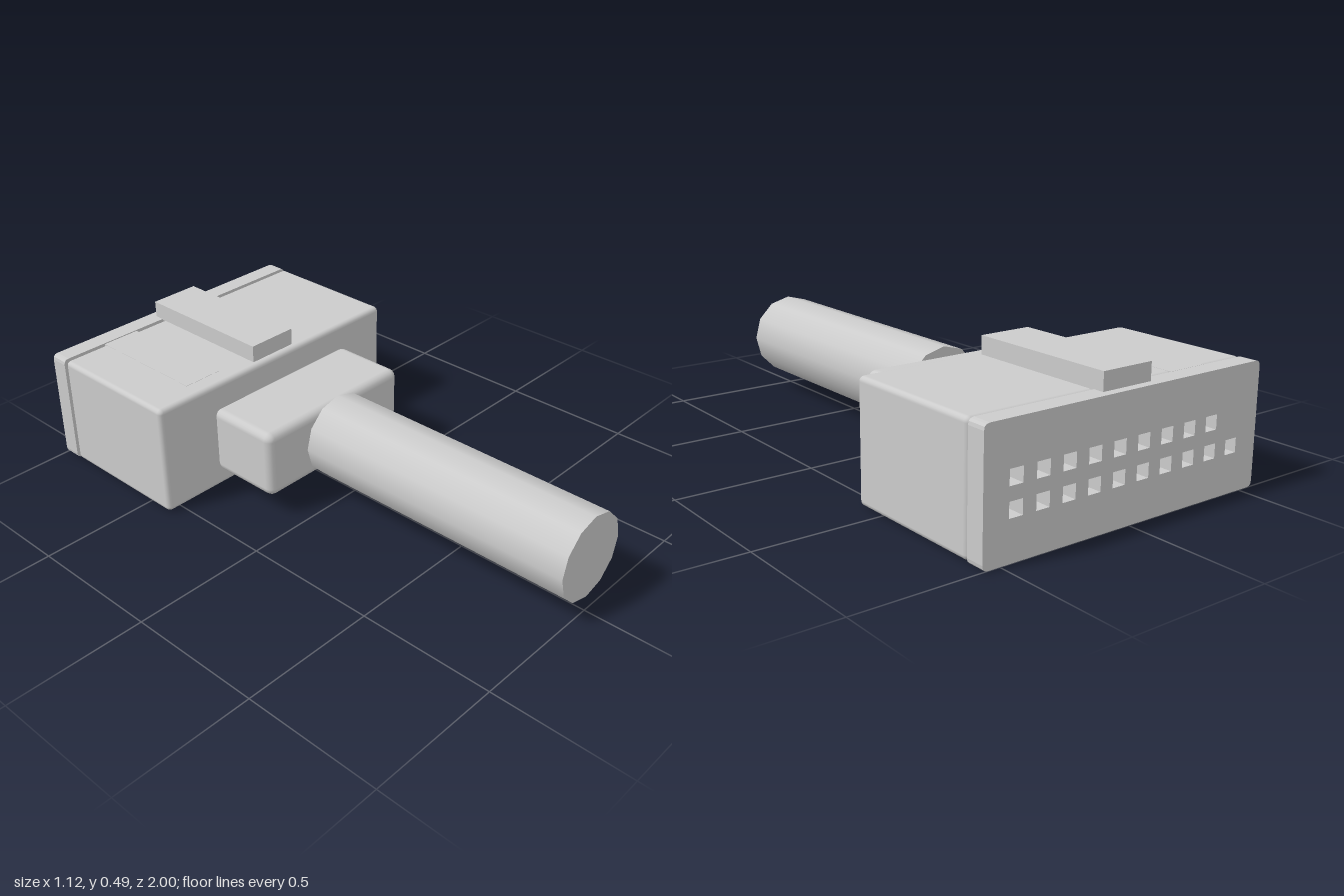
import * as THREE from 'three';
import { RoundedBoxGeometry } from 'three/addons/geometries/RoundedBoxGeometry.js';

export function createModel() {
  const group = new THREE.Group();
  const grey = new THREE.MeshStandardMaterial({ color: 0xcccccc });

  const add = (name, geometry, x, y, z) => {
    const mesh = new THREE.Mesh(geometry, grey);
    mesh.name = name;
    mesh.position.set(x, y, z);
    group.add(mesh);
    return mesh;
  };

  // Main plug housing and the smaller strain relief in front of it
  add('housing', new RoundedBoxGeometry(1.12, 0.42, 0.54, 2, 0.018), 0, 0.213, -0.658);
  add('strainRelief', new RoundedBoxGeometry(0.67, 0.253, 0.29, 2, 0.03), 0, 0.215, -0.235);

  // Round cable running forward
  const cable = new THREE.CylinderGeometry(0.157, 0.157, 1.085, 12);
  cable.rotateX(Math.PI / 2);
  add('cable', cable, 0, 0.213, 0.4575);

  // Locating key on top, and the flush pin-one mark beside it
  add('locatingKey', new THREE.BoxGeometry(0.196, 0.066, 0.555), 0, 0.454, -0.692);
  add('pinOneMark', new THREE.BoxGeometry(0.15, 0.02, 0.47), -0.305, 0.4138, -0.693);

  // Rear face plate outline with rounded corners
  const w = 0.562, h = 0.425, r = 0.02;
  const plate = new THREE.Shape();
  plate.moveTo(-w + r, 0);
  plate.lineTo(w - r, 0);
  plate.quadraticCurveTo(w, 0, w, r);
  plate.lineTo(w, h - r);
  plate.quadraticCurveTo(w, h, w - r, h);
  plate.lineTo(-w + r, h);
  plate.quadraticCurveTo(-w, h, -w, h - r);
  plate.lineTo(-w, r);
  plate.quadraticCurveTo(-w, 0, -w + r, 0);

  // Two rows of square sockets, with one upper position left blank as a key
  const s = 0.025;
  for (let row = 0; row < 2; row++) {
    for (let i = 0; i < 10; i++) {
      if (row === 1 && i === 0) continue;
      const x = -0.445 + i * 0.0989, y = 0.16 + row * 0.095;
      const hole = new THREE.Path();
      hole.moveTo(x - s, y - s);
      hole.lineTo(x - s, y + s);
      hole.lineTo(x + s, y + s);
      hole.lineTo(x + s, y - s);
      hole.closePath();
      plate.holes.push(hole);
    }
  }
  add('socketPlate', new THREE.ExtrudeGeometry(plate, { depth: 0.068, bevelEnabled: false, curveSegments: 3 }), 0, 0, -1);

  return group;
}
